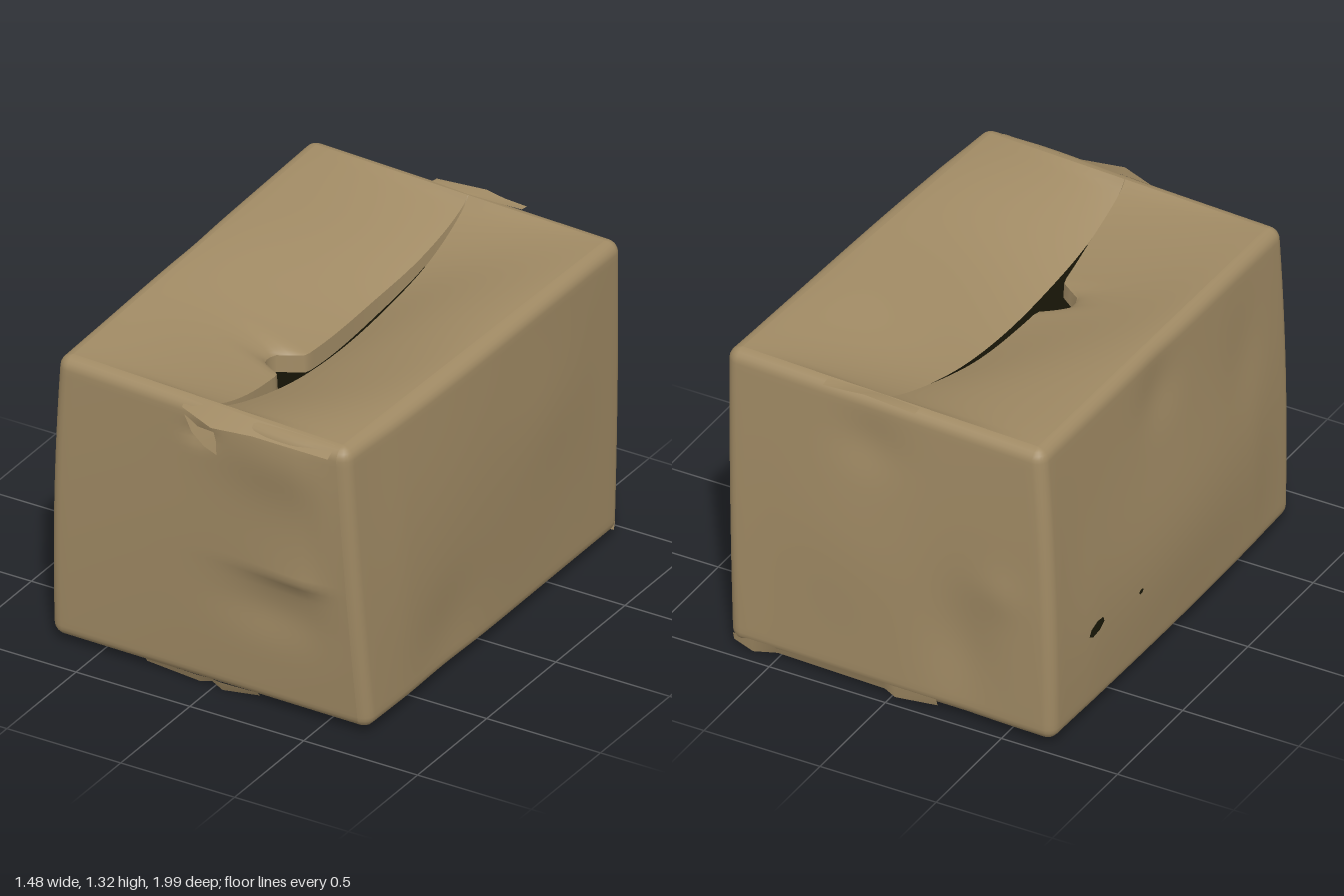
import * as THREE from 'three';

const cardboard = new THREE.MeshStandardMaterial({ color: 0xa08a64, side: THREE.DoubleSide });
cardboard.name = 'cardboard';
const shadow = new THREE.MeshStandardMaterial({ color: 0x1a1808, side: THREE.BackSide });
shadow.name = 'dark interior';

const { lerp, clamp } = THREE.MathUtils;
const R = 0.05, BASE = 0.026;
const topY = z => 1.287 - 0.021 * z;

// Outer corners [x, z] at the bottom, middle and top, in the order front right, back right, back left, front left
const CORNERS = [
  [[0.70, 0.86], [0.685, 0.92], [0.665, 0.955]],
  [[0.705, -0.95], [0.72, -0.945], [0.737, -0.92]],
  [[-0.71, -0.978], [-0.705, -0.988], [-0.665, -0.975]],
  [[-0.71, 0.845], [-0.69, 0.88], [-0.655, 0.895]],
];

// Corner of the inner frame at height fraction h
function core(i, h) {
  const [a, b, c] = CORNERS[i % 4];
  const w = [2 * (h - 0.5) * (h - 1), 4 * h * (1 - h), 2 * h * (h - 0.5)];
  return [0, 1].map(k => {
    const v = a[k] * w[0] + b[k] * w[1] + c[k] * w[2];
    return v - Math.sign(v) * R;
  });
}

// Dents and bulges: [wall, position along wall, y, spread along, spread y, amount]
// Walls: 0 front, 1 right, 2 back, 3 left
const DENTS = [
  [0, 0.36, 1.14, 0.28, 0.16, 0.024], [0, 0.0, 1.14, 0.06, 0.04, -0.02],
  [0, 0.3, 0.45, 0.22, 0.12, -0.018], [0, 0.56, 0.9, 0.06, 0.25, 0.01],
  [1, 0.25, 0.75, 0.7, 0.6, 0.028], [1, 0.3, 0.2, 0.2, 0.2, -0.012], [1, -0.4, 0.8, 0.25, 0.25, 0.008],
  [2, -0.3, 0.35, 0.14, 0.25, -0.025], [2, 0.2, 0.6, 0.25, 0.3, 0.012], [2, 0.1, 1.1, 0.14, 0.12, -0.015],
  [2, -0.5, 0.62, 0.12, 0.1, 0.01],
  [3, 0.0, 0.45, 0.75, 0.4, 0.038], [3, -0.1, 1.1, 0.14, 0.13, -0.015], [3, 0.55, 0.9, 0.15, 0.2, -0.01],
];
function dent(wall, along, y) {
  let d = 0;
  for (const [w, p, q, sp, sq, amt] of DENTS) {
    if (w === wall) d += amt * Math.exp(-(((along - p) / sp) ** 2) - ((y - q) / sq) ** 2);
  }
  // Sharp horizontal crease on the front
  if (wall === 0) {
    const fall = y > 0.61 ? (y - 0.61) / 0.16 : (0.61 - y) / 0.025;
    const reach = along < 0.45 ? 0.26 : 0.12;
    d += 0.03 * Math.exp(-(((along - 0.45) / reach) ** 2) - fall);
  }
  return d;
}

// Surface from a rule, with i running right and j running up as seen from its front
function grid(nu, nv, rule) {
  const pos = [], idx = [];
  for (let j = 0; j <= nv; j++) for (let i = 0; i <= nu; i++) pos.push(...rule(i / nu, j / nv, i, j));
  for (let j = 0; j < nv; j++) for (let i = 0; i < nu; i++) {
    const a = j * (nu + 1) + i, b = a + nu + 1;
    idx.push(a, a + 1, b + 1, a, b + 1, b);
  }
  const g = new THREE.BufferGeometry();
  g.setAttribute('position', new THREE.Float32BufferAttribute(pos, 3));
  g.setIndex(idx);
  g.computeVertexNormals();
  return g;
}

// Four walls as one sleeve with rounded corners and rolled rims
const ARC = 5, SIDE = 36, ROLL = 5, RISE = 44;
function wallPoint(corner, turn, s, h, roll) {
  const a = (corner + turn) * Math.PI / 2, n = [Math.sin(a), Math.cos(a)];
  const p = core(corner, h), q = core(corner + 1, h);
  const x = lerp(p[0], q[0], s), z = lerp(p[1], q[1], s);
  const yc = lerp(BASE + R, topY(z) - R, h);
  const wall = (corner + 1) % 4;
  const d = s > 0 && s < 1 ? dent(wall, wall % 2 ? z : x, yc) * Math.min(1, 8 * s * (1 - s)) : 0;
  const out = (R + d) * Math.cos(roll);
  return [x + n[0] * out, yc + R * Math.sin(roll), z + n[1] * out];
}
function walls() {
  const per = ARC + SIDE;
  return grid(per * 4, RISE + 2 * ROLL, (u, v, i, j) => {
    const k = Math.floor(i / per) % 4, m = i % per;
    const h = clamp((j - ROLL) / RISE, 0, 1);
    const roll = (Math.min(0, j - ROLL) + Math.max(0, j - ROLL - RISE)) / ROLL * Math.PI / 2;
    return wallPoint(k, Math.min(1, m / ARC), Math.max(0, m - ARC) / SIDE, h, roll);
  });
}

// Edges of the gap between the top flaps
const curve = pts => new THREE.SplineCurve(pts.map(p => new THREE.Vector2(...p)));
const sample = (c, z) => c.getPoint(clamp((0.9 - z) / 1.8, 0, 1)).x;
const leftEdge = curve([[0.02, 0.9], [0.012, 0.6], [-0.01, 0.3], [0.0, 0], [0.015, -0.3], [0.05, -0.6], [0.07, -0.9]]);
const rightEdge = curve([[0.022, 0.9], [0.024, 0.6], [0.04, 0.3], [0.05, 0], [0.06, -0.3], [0.075, -0.6], [0.072, -0.9]]);
const notch = z => 0.1 * Math.exp(-(((z - 0.25) / 0.075) ** 4));
const sagAt = v => Math.pow(Math.max(0, Math.sin(Math.PI * v)), 0.65);

// A point on a flap: u across from left to right, v from front to back
function flapPoint(side, u, v, h) {
  const [fr, br, bl, fl] = [0, 1, 2, 3].map(i => core(i, h));
  const L = [lerp(fl[0], bl[0], v), lerp(fl[1], bl[1], v)];
  const Rt = [lerp(fr[0], br[0], v), lerp(fr[1], br[1], v)];
  const zMid = (L[1] + Rt[1]) / 2;
  let seam = side < 0 ? 0.012 : 0.02;
  if (h) seam = sample(side < 0 ? leftEdge : rightEdge, zMid);
  const ts = (seam - L[0]) / (Rt[0] - L[0]);
  const t = side < 0 ? u * ts : lerp(ts, 1, u);
  const k = side < 0 ? u : 1 - u;
  const x = lerp(L[0], Rt[0], t), z = lerp(L[1], Rt[1], t);
  if (!h) {
    const bow = 0.01 * Math.sin(Math.PI * k * 0.8) * Math.min(1, 10 * v * (1 - v));
    return [x, BASE - bow - (side > 0 ? 0.01 * k * k : 0), z];
  }
  const drop = side < 0 ? 0.19 * Math.pow(k, 1.3) : 0.222 * Math.pow(k, 1.5);
  const ripple = 0.012 * Math.sin(5 * z + 3 * side) * Math.sin(Math.PI * k) * sagAt(v);
  const torn = side < 0 ? notch(z) * Math.pow(k, 5) : 0;
  return [x - torn, topY(z) - drop * sagAt(v) + ripple, z];
}

// Small torn paper strip between two edges
const scrap = (a, b) => grid(a.length - 1, 1, (u, v, i, j) => (j ? b : a)[i]);

export function createModel() {
  const model = new THREE.Group();
  model.name = 'worn cardboard box';
  const add = (name, geometry, material = cardboard) => {
    const mesh = new THREE.Mesh(geometry, material);
    mesh.name = name;
    model.add(mesh);
    return mesh;
  };

  add('walls', walls());
  for (const [word, side] of [['Right', -1], ['Left', 1]]) {
    add('topFlap' + word, grid(24, 64, (u, v) => flapPoint(side, u, v, 1)));
    add('bottomFlap' + word, grid(14, 30, (u, v) => flapPoint(side, u, 1 - v, 0)));
  }

  // Turned-down lip along the gap
  add('flapLip', grid(64, 3, (u, v) => {
    const [x, y, z] = flapPoint(-1, 1, u, 1);
    return [x + 0.004 * (1 - v), y - 0.075 * sagAt(u) * (1 - v), z];
  }));

  // Dark hollow inside
  add('interior', new THREE.BoxGeometry(1.24, 0.9, 1.66), shadow).position.set(0, 0.52, -0.02);

  // Torn and folded paper
  add('frontTear', scrap(
    [[-0.07, 1.205, 0.925], [-0.02, 1.16, 0.955], [0.05, 1.13, 0.98], [0.11, 1.115, 0.99]],
    [[-0.07, 1.21, 0.925], [0, 1.185, 0.945], [0.08, 1.19, 0.96], [0.1, 1.16, 0.975]]));
  add('frontSeamFold', scrap(
    [[-0.08, 1.235, 0.925], [0.09, 1.23, 0.998], [0.25, 1.225, 0.965], [0.59, 1.23, 0.975]],
    [[-0.08, 1.267, 0.89], [0.03, 1.27, 0.895], [0.25, 1.268, 0.91], [0.59, 1.266, 0.92]]));
  add('backSeamFold', scrap(
    [[-0.1, 1.306, -0.915], [0.06, 1.307, -0.9], [0.2, 1.307, -0.9], [0.3, 1.307, -0.905]],
    [[-0.1, 1.3, -0.95], [0.12, 1.317, -0.95], [0.2, 1.306, -0.945], [0.3, 1.3, -0.945]]));
  add('frontBottomFray', scrap(
    [[-0.3, 0.018, 0.815], [-0.06, 0.006, 0.825], [-0.005, 0.025, 0.83], [0.04, 0.0, 0.83], [0.2, 0.018, 0.82]],
    [[-0.3, 0.035, 0.825], [-0.06, 0.04, 0.84], [-0.005, 0.045, 0.845], [0.04, 0.04, 0.845], [0.2, 0.04, 0.84]]));
  add('backBottomFray', scrap(
    [[0.69, 0.025, -0.93], [0.6, 0.006, -0.945], [0.5, 0.025, -0.935], [0.03, 0.025, -0.95], [-0.02, 0.008, -0.96], [-0.2, 0.026, -0.955]],
    [[0.69, 0.06, -0.94], [0.6, 0.06, -0.95], [0.5, 0.06, -0.95], [0.03, 0.06, -0.963], [-0.02, 0.06, -0.965], [-0.2, 0.06, -0.967]]));

  // Punctures in one side wall
  for (const [z, y, w, h] of [[-0.68, 0.385, 0.055, 0.025], [-0.36, 0.37, 0.015, 0.01]]) {
    const level = (y - BASE - R) / 1.16, back = core(2, level)[1], front = core(3, level)[1];
    const p = wallPoint(2, 1, (z - back) / (front - back), level, 0);
    const disc = add('puncture', new THREE.CircleGeometry(1, 7), shadow);
    disc.scale.set(w, h, 1);
    disc.rotation.set(0, Math.PI / 2 - 0.06, -0.3, 'YXZ');
    disc.position.set(p[0] - 0.006, p[1], z);
  }
  return model;
}
